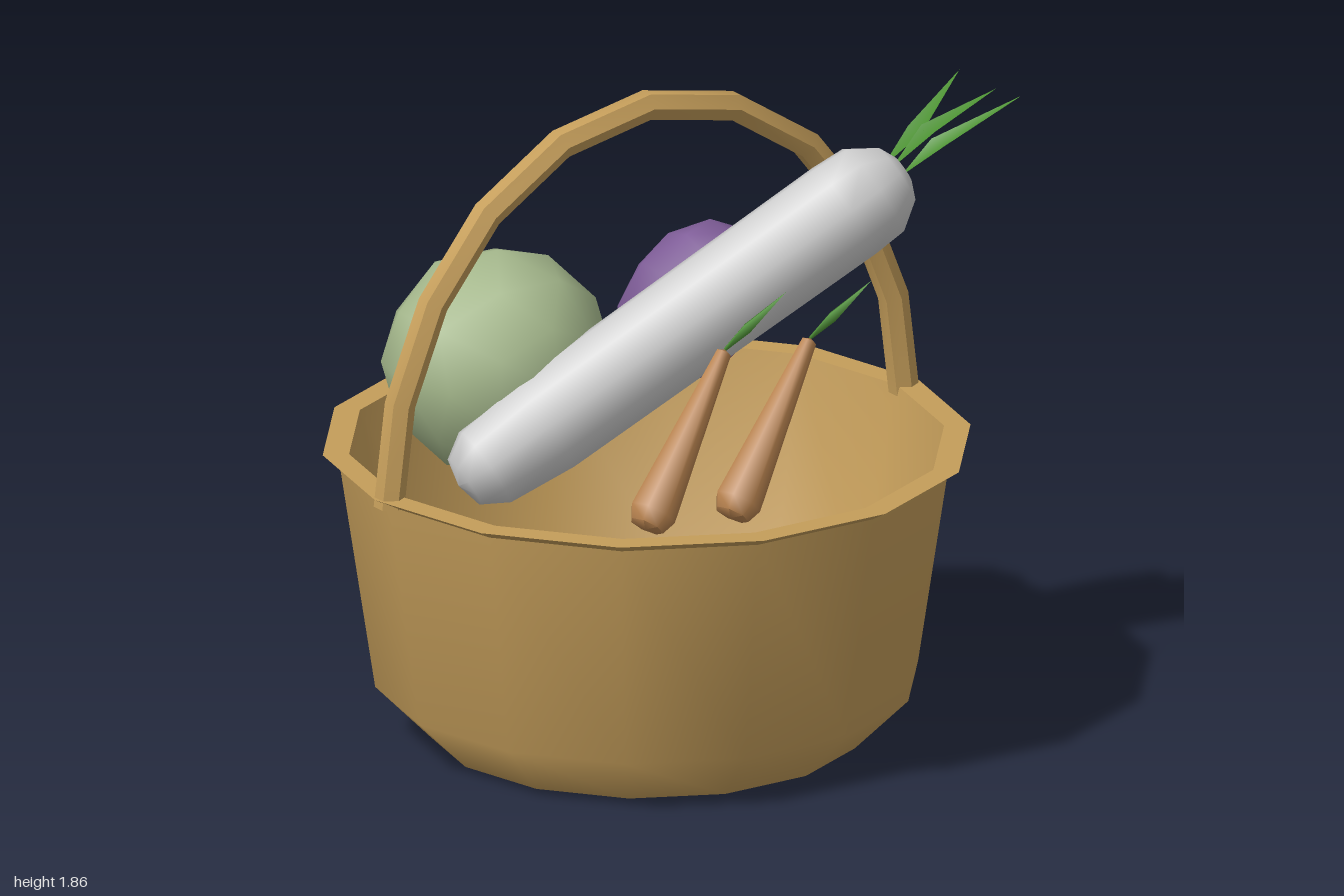
import * as THREE from 'three';
import { mergeVertices, toCreasedNormals } from 'three/addons/utils/BufferGeometryUtils.js';

const UP = new THREE.Vector3(0, 1, 0);
const V = (p) => new THREE.Vector3(...p);

const paint = (color) => new THREE.MeshStandardMaterial({ color });
const wicker = paint(0xc49d5a);
const white = paint(0xcccccc);
const orange = paint(0xba8450);
const green = paint(0x4a8f30);
const bladeGreen = paint(0x4a8f30);
bladeGreen.side = THREE.DoubleSide;

function add(group, name, geometry, material) {
  const mesh = new THREE.Mesh(geometry, material);
  mesh.name = name;
  group.add(mesh);
  return mesh;
}

// Turned shape from [radius, height] pairs
function turned(profile, sides, start = 0) {
  const pts = profile.map(([r, y]) => new THREE.Vector2(r, y));
  return new THREE.LatheGeometry(pts, sides, start);
}

// Place a shape that grows along +y so that it runs from a towards b
function aim(mesh, a, b) {
  mesh.position.copy(V(a));
  mesh.quaternion.setFromUnitVectors(UP, V(b).sub(V(a)).normalize());
}

// Smooth low-poly ball
function ball(radius) {
  const g = new THREE.IcosahedronGeometry(radius, 1);
  g.deleteAttribute('uv');
  g.deleteAttribute('normal');
  const merged = mergeVertices(g, 1e-4);
  merged.computeVertexNormals();
  return merged;
}

// Pointed leaf folded along its middle rib, spread along z
function blade(base, mid, tip, width) {
  const rib = [mid[0] + 0.01, mid[1] - 0.02, mid[2]];
  const left = [mid[0], mid[1], mid[2] - width / 2];
  const right = [mid[0], mid[1], mid[2] + width / 2];
  const g = new THREE.BufferGeometry();
  g.setAttribute('position', new THREE.Float32BufferAttribute([base, left, rib, right, tip].flat(), 3));
  g.setIndex([0, 2, 1, 0, 3, 2, 1, 2, 4, 2, 3, 4]);
  g.computeVertexNormals();
  return g;
}

// Half-ellipse arch for the handle
class Arch extends THREE.Curve {
  getPoint(t, target = new THREE.Vector3()) {
    const a = Math.PI * t;
    return target.set(0.86 * Math.cos(a), 0.815 + 1.01 * Math.sin(a), 0);
  }
}

export function createModel() {
  const model = new THREE.Group();
  model.name = 'vegetableBasket';

  // Basket: fourteen-sided bowl; each band is smooth, with sharp edges between bands
  const basket = new THREE.Group();
  basket.name = 'basket';
  basket.position.x = -0.09;
  model.add(basket);
  const bands = {
    base: [[0, 0], [0.605, 0]],
    outerWall: [[0.605, 0], [0.76, 0.155], [0.86, 0.815]],
    lipUnderside: [[0.86, 0.815], [0.907, 0.842]],
    lipTop: [[0.907, 0.842], [0.833, 0.842]],
    innerWall: [[0.833, 0.842], [0.71, 0.235], [0.555, 0.085]],
    floor: [[0.555, 0.085], [0, 0.085]],
  };
  for (const [name, profile] of Object.entries(bands)) {
    add(basket, name, turned(profile, 14, Math.PI / 2), wicker);
  }

  // Six-sided handle with closed ends
  add(basket, 'handle', toCreasedNormals(new THREE.TubeGeometry(new Arch(), 10, 0.043, 6), 0.8), wicker);
  for (const s of [-1, 1]) {
    const cap = add(basket, 'handleEnd', new THREE.CircleGeometry(0.043, 6), wicker);
    cap.rotation.set(Math.PI / 2, 0, Math.PI / 2);
    cap.position.set(0.86 * s, 0.815, 0);
  }

  // Cabbage
  add(model, 'cabbage', ball(0.323), paint(0xa5b88c)).position.set(-0.343, 1.02, -0.365);

  // Eggplant: stretched ball leaning forward
  const eggplant = add(model, 'eggplant', ball(1).rotateY(0.5), paint(0x7f5d98));
  eggplant.scale.set(0.206, 0.28, 0.178);
  aim(eggplant, [0.285, 1.075, -0.33], [0.42, 1.875, 0.14]);

  // Radish: long tapered body
  const radish = new THREE.Group();
  radish.name = 'radish';
  model.add(radish);
  aim(add(radish, 'radishBody', turned([
    [0, -0.12], [0.08, -0.1], [0.124, -0.03], [0.146, 0.17], [0.152, 1.2],
    [0.146, 1.3], [0.092, 1.378], [0.04, 1.402], [0, 1.405],
  ], 10), white), [-0.53, 0.835, -0.105], [0.51, 1.47, 0.155]);

  // Radish leaves: base, middle and tip of each
  [
    [[0.63, 1.53, 0.1], [0.75, 1.615, 0.085], [0.955, 1.725, 0.0]],
    [[0.63, 1.54, 0.145], [0.76, 1.63, 0.135], [0.99, 1.7, 0.13]],
    [[0.63, 1.53, 0.19], [0.75, 1.61, 0.2], [0.99, 1.715, 0.255]],
  ].forEach(([a, b, c]) => add(radish, 'radishLeaf', blade(a, b, c, 0.07), bladeGreen));

  // Two carrots, thick end down, each with one slim leaf
  for (const [x, z] of [[-0.36, 0.415], [-0.11, 0.467]]) {
    const carrot = new THREE.Group();
    carrot.name = 'carrot';
    carrot.position.set(x, 0.78, z);
    model.add(carrot);
    const top = [0.335, 0.4, -0.122];
    aim(add(carrot, 'carrotRoot', toCreasedNormals(turned([
      [0, -0.03], [0.05, -0.02], [0.068, 0.02], [0.022, 0.525], [0, 0.535],
    ], 7), 1), orange), [0, 0, 0], top);
    aim(add(carrot, 'carrotLeaf', turned([
      [0.006, 0], [0.018, 0.09], [0, 0.245],
    ], 4), green), top, [0.465, 0.577, -0.01]);
  }

  return model;
}
